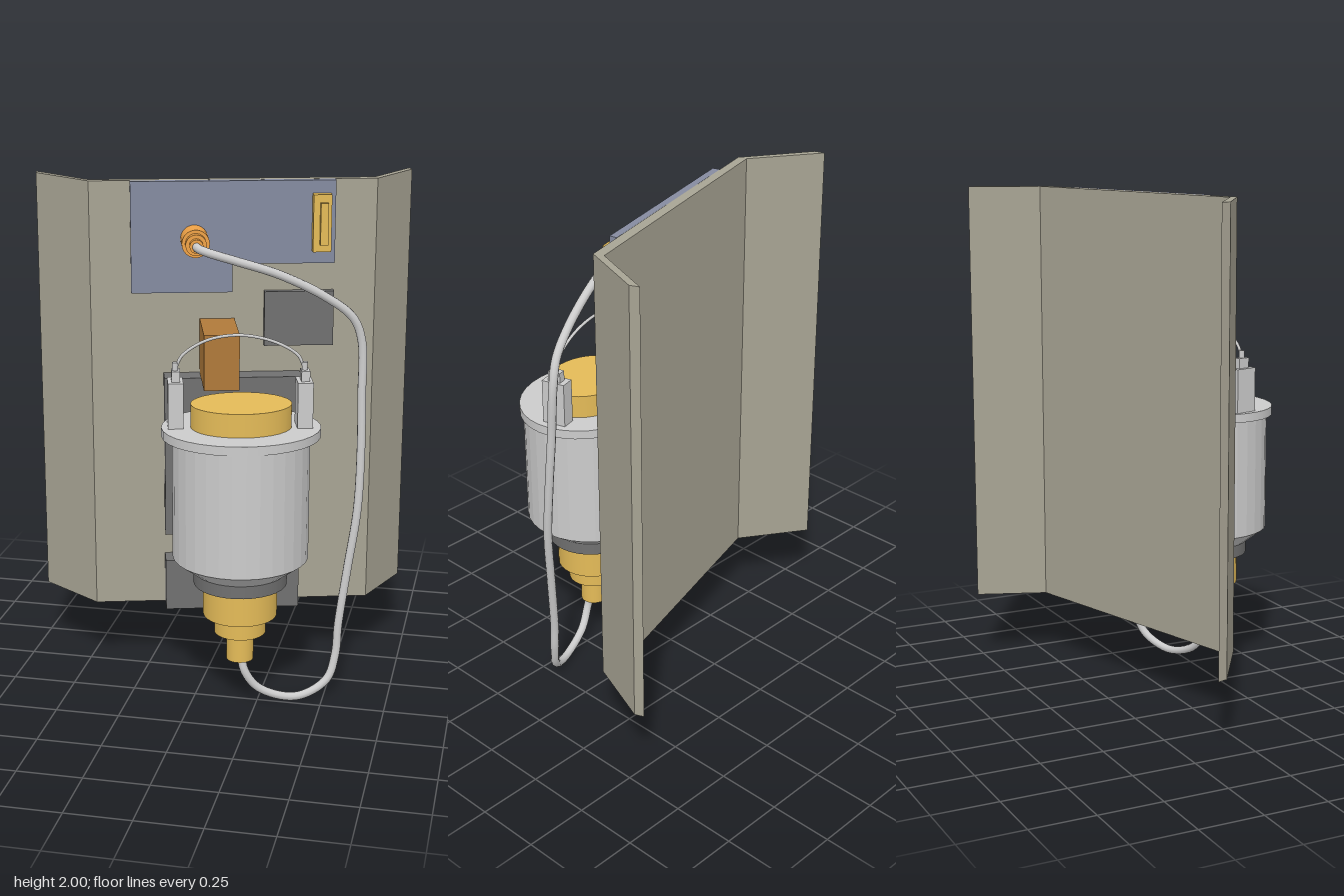
import * as THREE from 'three';

const mat = (color, flat = false) =>
  new THREE.MeshStandardMaterial({ color, flatShading: flat });
const GREY = mat(0xcccccc), GREY_FLAT = mat(0xcccccc, true);
const WALL = mat(0xa8a494), BOARD = mat(0x858ba0), DARK = mat(0x707070);
const GOLD = mat(0xe4bb58), ORANGE = mat(0xf0a347), BROWN = mat(0xb07a3a);

const TURN = 0.27; // yaw shared by the wall and everything fixed to it

function add(parent, name, geometry, material) {
  const mesh = new THREE.Mesh(geometry, material);
  mesh.name = name;
  parent.add(mesh);
  return mesh;
}

// Box given by its minimum and maximum on each axis
function box(parent, name, material, [x0, x1], [y0, y1], [z0, z1]) {
  const g = new THREE.BoxGeometry(x1 - x0, y1 - y0, z1 - z0);
  g.translate((x0 + x1) / 2, (y0 + y1) / 2, (z0 + z1) / 2);
  return add(parent, name, g, material);
}

// Upright cylinder between two heights
function drum(parent, name, material, y0, y1, rTop, rBottom = rTop) {
  const g = new THREE.CylinderGeometry(rTop, rBottom, y1 - y0, 32);
  g.translate(0, (y0 + y1) / 2, 0);
  return add(parent, name, g, material);
}

function extrude(points, depth) {
  const shape = new THREE.Shape(points.map(([x, y]) => new THREE.Vector2(x, y)));
  return new THREE.ExtrudeGeometry(shape, { depth, bevelEnabled: false });
}

function tube(parent, name, points, radius, segments) {
  const curve = new THREE.CatmullRomCurve3(points.map(p => new THREE.Vector3(...p)));
  return add(parent, name, new THREE.TubeGeometry(curve, segments, radius, 10), GREY);
}

// Folded wall: plan outline extruded upwards
function buildWall(root) {
  const plan = [
    [-0.71, -0.10], [-0.45, 0.07], [0.615, -0.227], [0.72, -0.50],
    [0.705, -0.535], [0.60, -0.265], [-0.46, 0.035], [-0.72, -0.14],
  ];
  const g = extrude(plan.map(([x, z]) => [x, -z]), 1.72);
  g.rotateX(-Math.PI / 2).translate(0, 0.28, 0);
  add(root, 'foldedWall', g, WALL);
}

// Parts fixed to the wall; local z is the distance from its front
function buildFittings(root) {
  const fittings = new THREE.Group();
  fittings.name = 'wallFittings';
  fittings.position.z = -0.055;
  fittings.rotation.y = TURN;
  root.add(fittings);

  // Stepped upper board with slotted socket
  const board = [[-0.31, 1.57], [0.08, 1.57], [0.08, 1.68], [0.475, 1.68], [0.475, 2], [-0.31, 2]];
  add(fittings, 'upperBoard', extrude(board, 0.03), BOARD);
  box(fittings, 'socketBase', GOLD, [0.385, 0.455], [1.73, 1.95], [0.03, 0.07]);
  box(fittings, 'socketInsert', GOLD, [0.41, 0.44], [1.76, 1.92], [0.07, 0.095]);

  // Dark mounting plates
  box(fittings, 'smallPlate', DARK, [0.205, 0.475], [1.355, 1.57], [0, 0.03]);
  box(fittings, 'lowerBlock', DARK, [-0.187, 0.348], [0.28, 0.49], [0, 0.09]);

  // Block with a round groove along its back
  const profile = new THREE.Shape();
  profile.moveTo(0, 0.6);
  profile.lineTo(0.09, 0.6);
  profile.lineTo(0.09, 1.245);
  profile.lineTo(0, 1.245);
  profile.absarc(-0.107, 0.92, 0.157, 0.82, -0.82, true);
  const g = new THREE.ExtrudeGeometry(profile, { depth: 0.535, bevelEnabled: false, curveSegments: 16 });
  g.rotateY(-Math.PI / 2).translate(0.348, 0, 0);
  add(fittings, 'groovedBlock', g, DARK);

  box(fittings, 'bracketArm', BROWN, [-0.045, 0.09], [1.245, 1.46], [0, 0.276]);

  // Stepped hose connector
  const connector = new THREE.Group();
  connector.name = 'hoseConnector';
  connector.position.set(-0.067, 1.78, 0);
  connector.rotation.x = Math.PI / 2;
  fittings.add(connector);
  drum(connector, 'connectorBody', ORANGE, 0.02, 0.14, 0.053);
  drum(connector, 'connectorCollar', ORANGE, 0.14, 0.17, 0.04);
  drum(connector, 'connectorTip', ORANGE, 0.17, 0.197, 0.026);
}

// Vessel with oval lid, stepped outlet and two terminals
function buildVessel(root) {
  const vessel = new THREE.Group();
  vessel.name = 'vessel';
  vessel.position.set(0.183, 0, 0.27);
  vessel.rotation.y = TURN;
  root.add(vessel);

  drum(vessel, 'lid', GOLD, 1.13, 1.22, 1).scale.set(0.19, 1, 0.152);
  drum(vessel, 'flange', GREY, 1.095, 1.13, 1).scale.set(0.3, 1, 0.262);
  drum(vessel, 'body', GREY_FLAT, 0.615, 1.095, 0.26);
  drum(vessel, 'taper', GREY_FLAT, 0.555, 0.615, 0.26, 0.18);
  drum(vessel, 'neck', DARK, 0.505, 0.555, 0.18);
  [[0.375, 0.505, 0.143], [0.30, 0.375, 0.1], [0.185, 0.30, 0.053]].forEach(([y0, y1, r]) =>
    drum(vessel, 'outletStep', GOLD, y0, y1, r));
}

function buildTerminals(root) {
  for (const [x, z] of [[-0.06, 0.313], [0.41, 0.205]]) {
    const terminal = new THREE.Group();
    terminal.name = 'terminal';
    terminal.position.set(x, 0, z);
    terminal.rotation.y = TURN;
    root.add(terminal);
    box(terminal, 'terminalBlock', GREY, [-0.029, 0.029], [1.13, 1.305], [-0.048, 0.048]);
    box(terminal, 'terminalCap', GREY, [-0.014, 0.018], [1.305, 1.345], [-0.026, 0.026]);
    drum(terminal, 'terminalPin', GREY, 1.345, 1.375, 0.011);
  }
  tube(root, 'bridgeWire', [
    [-0.055, 1.36, 0.313], [-0.035, 1.40, 0.305], [0.05, 1.455, 0.28], [0.17, 1.475, 0.25],
    [0.3, 1.45, 0.225], [0.385, 1.40, 0.208], [0.405, 1.36, 0.205],
  ], 0.006, 40);
}

export function createModel() {
  const root = new THREE.Group();
  root.name = 'wallVessel';
  buildWall(root);
  buildFittings(root);
  buildVessel(root);
  buildTerminals(root);

  // Hose looping from the outlet up to the connector
  tube(root, 'hose', [
    [0.19, 0.21, 0.28], [0.205, 0.14, 0.288], [0.26, 0.06, 0.268], [0.40, 0.016, 0.22],
    [0.51, 0.07, 0.16], [0.54, 0.17, 0.13], [0.547, 0.29, 0.118], [0.575, 0.52, 0.095],
    [0.605, 0.76, 0.07], [0.61, 1.0, 0.045], [0.605, 1.2, 0.028], [0.598, 1.42, 0.016],
    [0.565, 1.51, 0.03], [0.47, 1.59, 0.065], [0.3, 1.68, 0.12], [0.14, 1.735, 0.167],
    [0.04, 1.765, 0.184], [-0.005, 1.777, 0.168], [-0.018, 1.78, 0.13],
  ], 0.0165, 140);
  return root;
}
